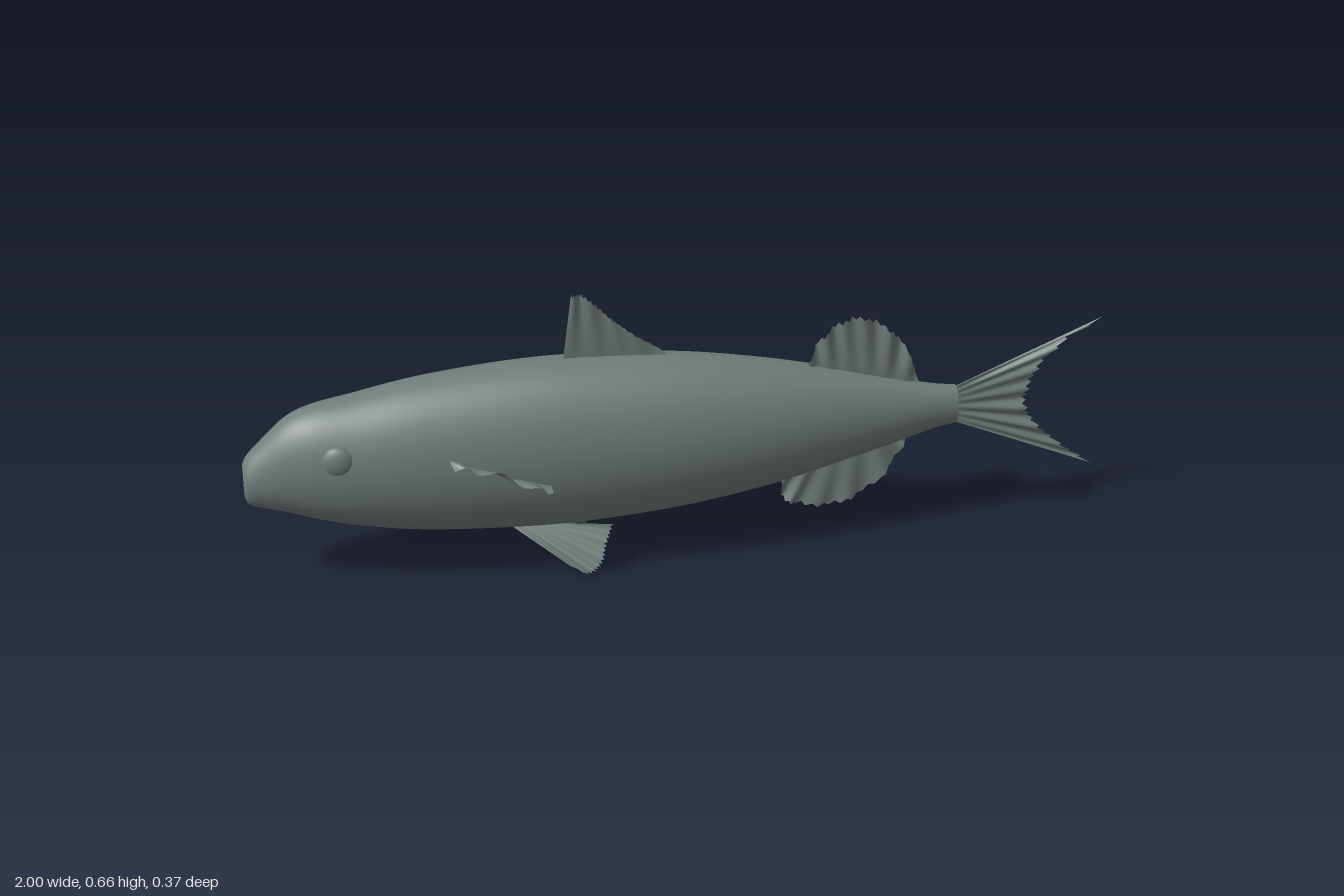
import * as THREE from 'three';

const V = (x, y, z = 0) => new THREE.Vector3(x, y, z);
const skin = new THREE.MeshStandardMaterial({ color: 0x717d78, side: THREE.DoubleSide });
skin.name = 'grey green skin';

// Body stations: x, belly y, back y, half width
const STATIONS = [
  [-1.0, 0.228, 0.305, 0.033], [-0.99, 0.208, 0.325, 0.041], [-0.965, 0.198, 0.352, 0.05],
  [-0.9, 0.18, 0.412, 0.073], [-0.84, 0.16, 0.438, 0.092], [-0.75, 0.137, 0.455, 0.11],
  [-0.6, 0.112, 0.483, 0.128], [-0.4, 0.099, 0.503, 0.14], [-0.22, 0.098, 0.506, 0.142],
  [0, 0.115, 0.492, 0.135], [0.2, 0.147, 0.46, 0.115], [0.35, 0.183, 0.426, 0.09],
  [0.5, 0.222, 0.386, 0.06], [0.6, 0.25, 0.363, 0.04], [0.655, 0.26, 0.355, 0.033],
];

function add(group, name, geometry) {
  const mesh = new THREE.Mesh(geometry, skin);
  mesh.name = name;
  group.add(mesh);
  return mesh;
}

// Regular grid surface; point(u, v, i, j) gives each vertex
function gridSurface(nu, nv, point) {
  const pos = [], idx = [];
  for (let i = 0; i <= nu; i++)
    for (let j = 0; j <= nv; j++) pos.push(...point(i / nu, j / nv, i, j).toArray());
  for (let i = 0; i < nu; i++)
    for (let j = 0; j < nv; j++) {
      const a = i * (nv + 1) + j, b = a + 1, c = a + nv + 1, d = c + 1;
      idx.push(a, b, c, b, d, c);
    }
  const g = new THREE.BufferGeometry();
  g.setAttribute('position', new THREE.Float32BufferAttribute(pos, 3));
  g.setIndex(idx);
  g.computeVertexNormals();
  return g;
}

// Elliptical sections lofted along the body
function bodyGeometry() {
  const curve = (f) => new THREE.CatmullRomCurve3(STATIONS.map(f), false, 'catmullrom', 0.5);
  const outline = curve(([x, lo, hi]) => V(x, lo, hi));
  const widths = curve(([x, , , w]) => V(x, w, 0));
  const n = 64;
  const g = gridSurface(84, n, (u, v) => {
    const p = outline.getPoint(u), w = widths.getPoint(u).y, a = v * Math.PI * 2;
    return V(p.x, (p.y + p.z) / 2 + Math.cos(a) * (p.z - p.y) / 2, Math.sin(a) * w);
  });
  // Share normals across the seam on the back
  const nor = g.attributes.normal;
  for (let i = 0; i <= 84; i++) {
    const a = i * (n + 1), b = a + n;
    const m = V(nor.getX(a) + nor.getX(b), nor.getY(a) + nor.getY(b), 0).normalize();
    nor.setXYZ(a, m.x, m.y, 0);
    nor.setXYZ(b, m.x, m.y, 0);
  }
  return g;
}

// End cap of a station, with its centre moved along x
function capGeometry([x, lo, hi, w], dir, dent) {
  const g = new THREE.CircleGeometry(1, 48);
  g.scale(w, (hi - lo) / 2, 1);
  g.rotateY(dir * Math.PI / 2);
  g.translate(x, (lo + hi) / 2, 0);
  g.attributes.position.setX(0, x + dent);
  g.computeVertexNormals();
  return g;
}

// Pleated fin: rays run from a root curve to an edge curve, with a ragged rim
function finGeometry(root, edge, { rays = 36, pleats = 6, ripple = 0.007, ragged = 0.05, normal = V(0, 0, 1) } = {}) {
  const r = new THREE.CatmullRomCurve3(root), e = new THREE.CatmullRomCurve3(edge);
  const dir = normal.clone().normalize();
  return gridSurface(rays, 8, (u, v, i) => {
    const inner = u > 0.02 && u < 0.98;
    const reach = v * (inner && i % 2 ? 1 - ragged : 1);
    const wave = Math.sin(u * pleats * Math.PI * 2) + 0.4 * Math.sin(u * pleats * 4.7 + 1);
    return r.getPoint(u).lerp(e.getPoint(u), reach).addScaledVector(dir, ripple * v * wave);
  });
}

const mirrorZ = (points, s) => points.map((p) => V(p.x, p.y, p.z * s));

export function createModel() {
  const model = new THREE.Group();
  model.name = 'fish';

  add(model, 'body', bodyGeometry());
  add(model, 'snout', capGeometry(STATIONS[0], -1, 0.012));
  add(model, 'tailStump', capGeometry(STATIONS[STATIONS.length - 1], 1, 0));

  // Fins on the centre line
  add(model, 'firstDorsalFin', finGeometry(
    [V(-0.27, 0.49), V(-0.15, 0.49), V(-0.04, 0.485)],
    [V(-0.247, 0.665), V(-0.22, 0.66), V(-0.17, 0.61), V(-0.12, 0.565), V(-0.03, 0.5)],
    { ripple: 0.003, pleats: 4 }));
  add(model, 'secondDorsalFin', finGeometry(
    [V(0.3, 0.42), V(0.43, 0.39), V(0.56, 0.36)],
    [V(0.3, 0.445), V(0.33, 0.505), V(0.37, 0.54), V(0.42, 0.553), V(0.48, 0.525), V(0.53, 0.47), V(0.565, 0.375)],
    { ragged: 0.06 }));
  add(model, 'analFin', finGeometry(
    [V(0.25, 0.18), V(0.4, 0.21), V(0.54, 0.245)],
    [V(0.24, 0.15), V(0.248, 0.09), V(0.28, 0.075), V(0.35, 0.064), V(0.42, 0.08), V(0.49, 0.135), V(0.53, 0.2), V(0.545, 0.235)],
    { ragged: 0.06 }));
  add(model, 'tailFin', finGeometry(
    [V(0.645, 0.35), V(0.645, 0.308), V(0.645, 0.265)],
    [V(1, 0.503), V(0.89, 0.425), V(0.84, 0.35), V(0.832, 0.28), V(0.89, 0.205), V(1, 0.117)],
    { rays: 44, pleats: 7, ripple: 0.006, ragged: 0.06 }));

  // Paired fins and eyes
  for (const [side, s] of [['near', 1], ['far', -1]]) {
    add(model, side + 'PectoralFin', finGeometry(
      mirrorZ([V(-0.55, 0.345, 0.125), V(-0.45, 0.3, 0.13), V(-0.32, 0.26, 0.135)], s),
      mirrorZ([V(-0.535, 0.315, 0.145), V(-0.48, 0.325, 0.163), V(-0.41, 0.295, 0.165), V(-0.35, 0.275, 0.184), V(-0.32, 0.26, 0.176)], s),
      { pleats: 3, ripple: 0.008, ragged: 0.04, normal: V(0.3, 0.9, 0) }));
    add(model, side + 'PelvicFin', finGeometry(
      mirrorZ([V(-0.4, 0.105, 0.032), V(-0.36, 0.108, 0.034), V(-0.3, 0.105, 0.036)], s),
      mirrorZ([V(-0.27, 0.02, 0.103), V(-0.23, 0.006, 0.114), V(-0.2, 0.025, 0.104), V(-0.185, 0.06, 0.078), V(-0.165, 0.094, 0.048)], s),
      { pleats: 4, ripple: 0.004, ragged: 0.04, normal: V(0, 0.65, 0.76 * s) }));
    const eye = add(model, side + 'Eye', new THREE.SphereGeometry(0.037, 24, 16));
    eye.scale.z = 0.5;
    eye.position.set(-0.79, 0.34, 0.09 * s);
    eye.rotation.y = -0.15 * s;
  }
  return model;
}
